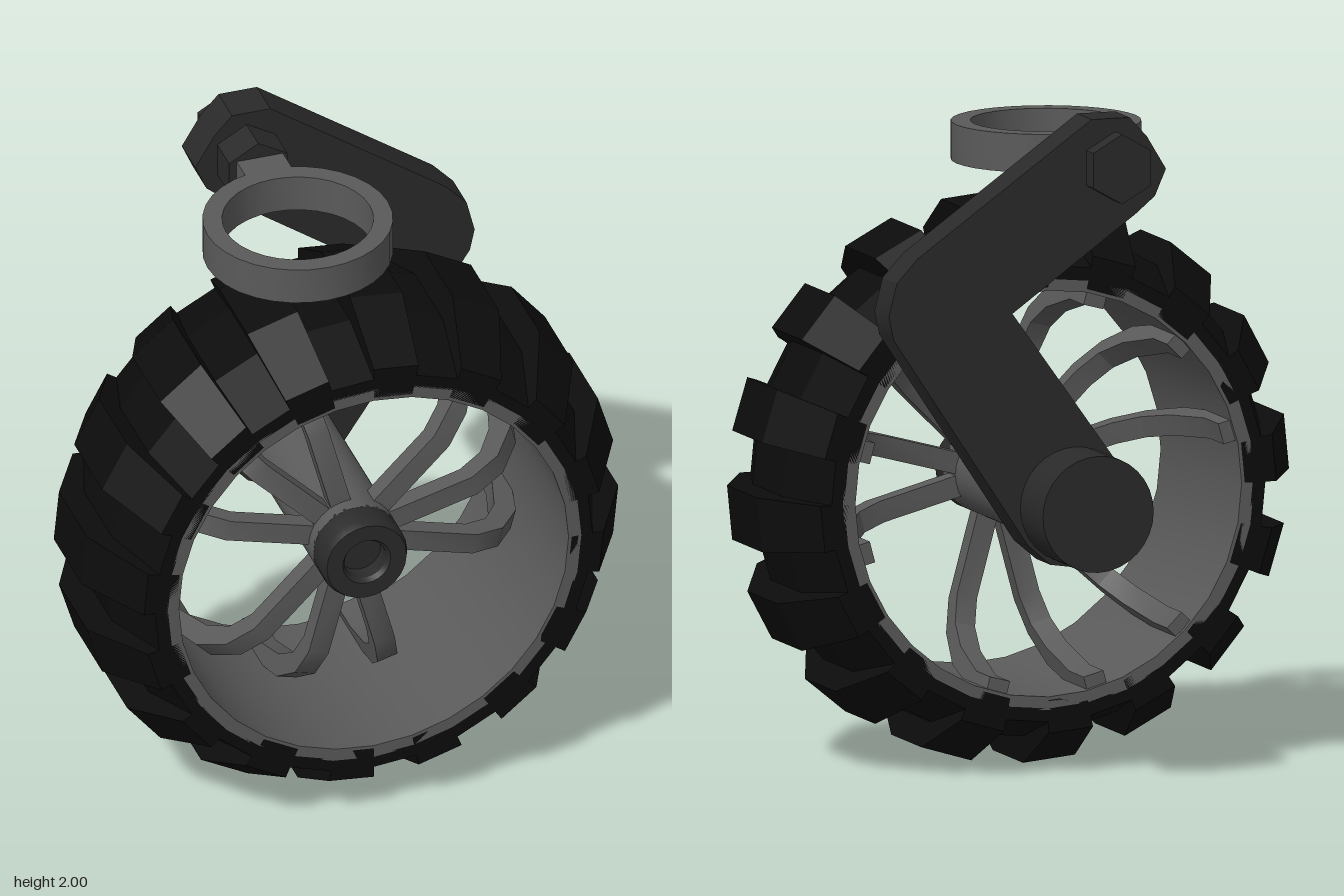
import * as THREE from 'three';
import { toCreasedNormals } from 'three/addons/utils/BufferGeometryUtils.js';

const WHEEL_Y = 0.845, WHEEL_Z = 0.215;

const mat = (color, flatShading = false) => new THREE.MeshStandardMaterial({ color, flatShading });
const rubber = mat(0x0c0c0c, true);
const darkMetal = mat(0x2a2a2a);
const greyMetal = mat(0x5a5a5a);

function add(parent, name, geometry, material, x = 0, y = 0, z = 0) {
  const mesh = new THREE.Mesh(toCreasedNormals(geometry, 0.5), material);
  mesh.name = name;
  mesh.position.set(x, y, z);
  parent.add(mesh);
  return mesh;
}

// Closed [radius, height] outline turned round the y axis
function turned(profile, segments = 32) {
  const points = [...profile, profile[0]].map(([r, h]) => new THREE.Vector2(r, h));
  return new THREE.LatheGeometry(points, segments);
}

// Cylinder along z between two depths
function rod(radius, z0, z1, sides = 32) {
  return new THREE.CylinderGeometry(radius, radius, z1 - z0, sides)
    .rotateX(Math.PI / 2).translate(0, 0, (z0 + z1) / 2);
}

function extruded(points, depth) {
  const shape = new THREE.Shape(points.map(([x, y]) => new THREE.Vector2(x, y)));
  return new THREE.ExtrudeGeometry(shape, { depth, bevelEnabled: false });
}

// Tread block: a box bent onto the tyre, lower at its two shoulders
function lugGeometry(startAngle, sweep) {
  const depths = [-0.35, -0.13, 0.13, 0.35], outer = [0.72, 0.84, 0.84, 0.72];
  const geo = new THREE.BoxGeometry(1, 1, 3, 1, 1, 3);
  const p = geo.attributes.position;
  for (let i = 0; i < p.count; i++) {
    const k = Math.round(p.getZ(i) + 1.5);
    const r = p.getY(i) > 0 ? outer[k] : outer[k] - 0.1;
    const a = startAngle - (p.getX(i) + 0.5) * sweep;
    p.setXYZ(i, r * Math.cos(a), r * Math.sin(a), depths[k]);
  }
  return geo;
}

function createWheel() {
  const wheel = new THREE.Group();
  wheel.name = 'wheel';
  wheel.position.set(0, WHEEL_Y, WHEEL_Z);

  // Tyre carcass with 16 tread blocks
  const tyre = turned([[0.645, -0.35], [0.685, -0.35], [0.76, -0.13], [0.76, 0.13],
    [0.685, 0.35], [0.645, 0.35]]).rotateX(Math.PI / 2);
  add(wheel, 'tyre', tyre, rubber);
  const step = Math.PI / 8;
  for (let i = 0; i < 16; i++) {
    add(wheel, 'treadBlock', lugGeometry(Math.PI / 2 + i * step, step / 2), rubber);
  }

  // Open rim barrel
  const rim = turned([[0.61, -0.35], [0.65, -0.35], [0.65, 0.35], [0.61, 0.35]]);
  add(wheel, 'rim', rim.rotateX(Math.PI / 2), greyMetal);

  // Spokes leave the hub radially, then sweep back to the rear of the rim
  const outline = [[0.08, 0.085], [0.38, 0.085], [0.46, 0.045], [0.52, -0.045], [0.57, -0.215],
    [0.57, -0.335], [0.63, -0.335], [0.63, -0.215], [0.58, -0.015], [0.50, 0.095],
    [0.40, 0.145], [0.08, 0.145]];
  for (let group = 0; group < 3; group++) {
    for (const offset of [-15, 15, 45]) {
      const spoke = extruded(outline, 0.065).translate(0, 0, -0.0325)
        .rotateX(Math.PI / 2)
        .rotateZ(THREE.MathUtils.degToRad(group * 120 + offset));
      add(wheel, 'spoke', spoke, greyMetal);
    }
  }

  // Axle sleeve and recessed hub cap
  add(wheel, 'axle', rod(0.135, -0.47, 0.19), greyMetal);
  const cap = turned([[0, 0.18], [0.135, 0.18], [0.135, 0.26], [0.125, 0.285],
    [0.075, 0.285], [0.065, 0.27], [0.065, 0.22], [0, 0.22]], 24);
  add(wheel, 'hubCap', cap.rotateX(Math.PI / 2), darkMetal);
  return wheel;
}

export function createModel() {
  const model = new THREE.Group();
  model.name = 'wheelAssembly';
  model.add(createWheel());

  // Bent support arm
  const armOutline = [[-0.02, 0.655], [0.08, 0.67], [0.15, 0.73], [0.575, 1.37], [0.59, 1.44],
    [0.565, 1.54], [0.5, 1.61], [-0.05, 2], [-0.17, 2], [-0.225, 1.94], [-0.285, 1.84],
    [-0.25, 1.76], [-0.19, 1.71], [0.2, 1.43], [-0.15, 0.94], [-0.195, 0.83],
    [-0.19, 0.78], [-0.12, 0.7]];
  add(model, 'arm', extruded(armOutline, 0.125), darkMetal, 0, 0, -0.37);

  // Hub motor behind the arm
  add(model, 'motor', rod(0.175, -0.565, -0.36), darkMetal, 0, WHEEL_Y);

  // Hexagonal pivot bolt through the top of the arm
  add(model, 'pivotBolt', rod(0.105, -0.43, -0.135, 6), darkMetal, -0.125, 1.855);

  // Mounting ring and the tab joining it to the bolt
  const ring = turned([[0.225, -0.058], [0.283, -0.058], [0.283, 0.058], [0.225, 0.058]]);
  add(model, 'mountRing', ring, greyMetal, -0.12, 1.852, 0.215);
  add(model, 'mountTab', new THREE.BoxGeometry(0.145, 0.116, 0.12), greyMetal, -0.12, 1.852, -0.09);
  return model;
}
